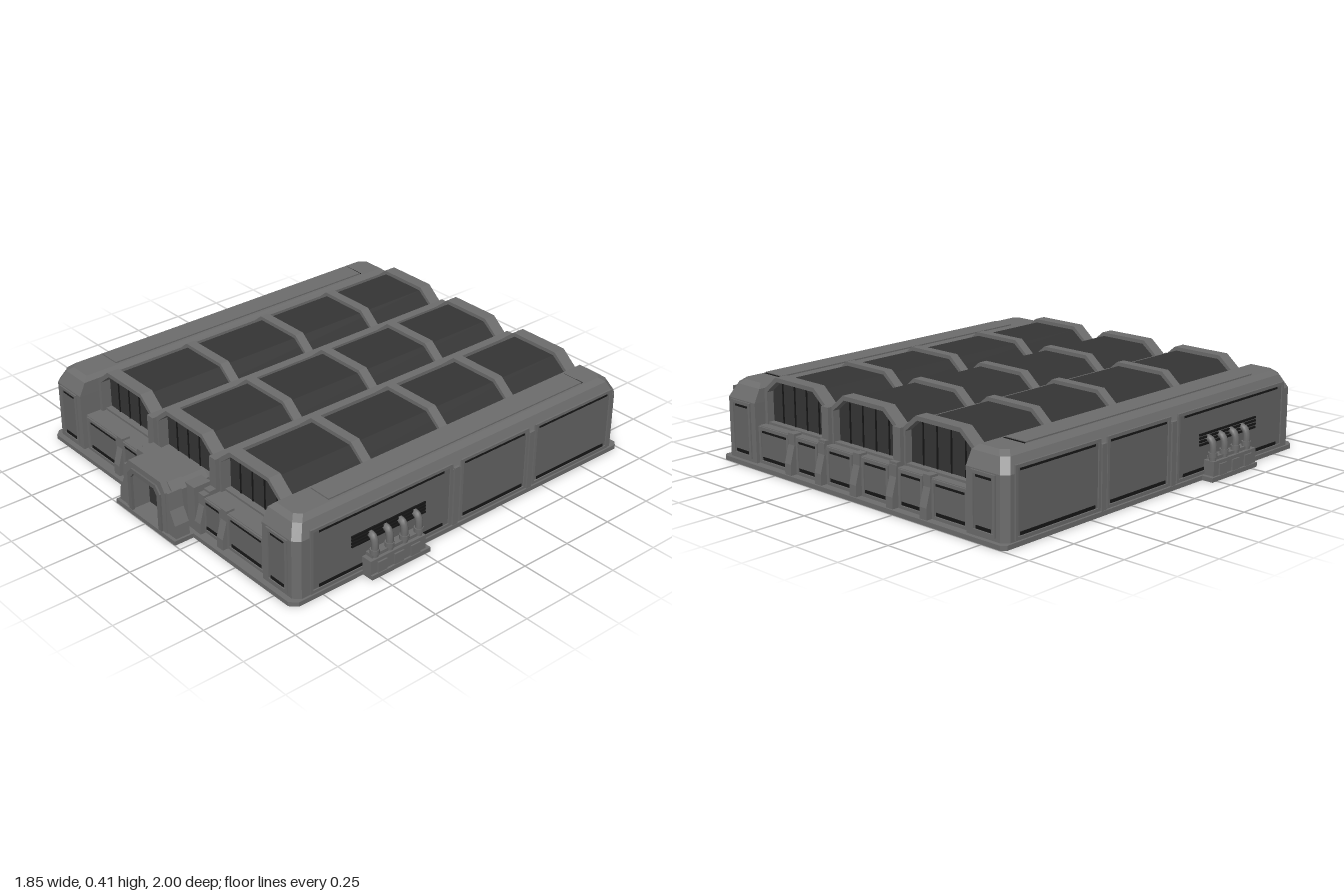
import * as THREE from 'three';
import { ConvexGeometry } from 'three/addons/geometries/ConvexGeometry.js';

export function createModel() {
  const root = new THREE.Group();
  const mat = (name, color) => {
    const m = new THREE.MeshStandardMaterial({ color });
    m.name = name;
    return m;
  };
  const hull = mat('hull grey', 0x6c6c6c);
  const panelGrey = mat('panel grey', 0x646464);
  const glass = mat('dark glass', 0x343434);
  const slot = mat('black slot', 0x161616);

  const add = (name, geo, m, x = 0, y = 0, z = 0) => {
    const mesh = new THREE.Mesh(geo, m);
    mesh.name = name;
    mesh.position.set(x, y, z);
    root.add(mesh);
    return mesh;
  };
  // box given by its limits on each axis
  const box = (name, m, x0, x1, y0, y1, z0, z1) =>
    add(name, new THREE.BoxGeometry(Math.abs(x1 - x0), y1 - y0, z1 - z0), m,
      (x0 + x1) / 2, (y0 + y1) / 2, (z0 + z1) / 2);
  const shape = pts => new THREE.Shape(pts.map(p => new THREE.Vector2(...p)));
  const extrude = (s, depth) => new THREE.ExtrudeGeometry(s, { depth, bevelEnabled: false });
  const rect = (w, h) => [[-w / 2, -h / 2], [w / 2, -h / 2], [w / 2, h / 2], [-w / 2, h / 2]];
  // cut-corner arch outline, starting bottom right
  const arch = (w, eave, tw, top, y0) =>
    [[w, y0], [w, eave], [tw, top], [-tw, top], [-w, eave], [-w, y0]];
  const archBand = (outer, inner) => shape([...outer, ...inner.reverse()]);

  // panel with a raised border and dark slots, facing +z before rotation
  const framedPanel = (name, w, h, x, y, z, turn, slotW = w * 0.8) => {
    const g = new THREE.Group();
    g.name = name;
    const s = shape(rect(w, h));
    s.holes.push(new THREE.Path(rect(w - 0.026, h - 0.026).map(p => new THREE.Vector2(...p))));
    g.add(new THREE.Mesh(extrude(s, 0.008), hull));
    const face = new THREE.Mesh(new THREE.BoxGeometry(w - 0.02, h - 0.02, 0.004), panelGrey);
    g.add(face);
    for (const k of [-1, 1]) {
      const line = new THREE.Mesh(new THREE.BoxGeometry(slotW, k < 0 ? 0.014 : 0.009, 0.006), slot);
      line.position.set(0, k * (h / 2 - 0.022), 0.002);
      g.add(line);
    }
    g.position.set(x, y, z);
    g.rotation.y = turn;
    root.add(g);
  };

  // base plate with bumps for the entrance and the side units
  const half = [[0.215, 1], [0.215, 0.905], [0.84, 0.905], [0.87, 0.875], [0.87, 0.54],
    [0.925, 0.54], [0.925, 0.22], [0.87, 0.22], [0.87, -0.98], [0.85, -1]];
  const plate = extrude(shape([...half, ...half.map(([x, z]) => [-x, z]).reverse()]), 0.02);
  plate.rotateX(Math.PI / 2);
  add('basePlate', plate, hull, 0, 0.02, 0);

  // inner core and low end walls
  box('core', hull, -0.66, 0.66, 0.01, 0.2, -0.92, 0.76);
  box('frontWall', hull, -0.66, 0.66, 0.01, 0.19, 0.75, 0.855);
  box('backWall', hull, -0.66, 0.66, 0.01, 0.19, -0.96, -0.88);

  // side wings: chamfered long blocks
  for (const s of [-1, 1]) {
    const pts = [];
    for (const [y, inset, inner] of [[0.01, 0, 0.65], [0.29, 0, 0.65], [0.35, 0.03, 0.652], [0.37, 0.055, 0.672]]) {
      const xo = 0.86 - inset, zf = 0.88 - inset, zb = -0.98 + inset, c = 0.028;
      for (const [x, z] of [[inner, zf], [xo - c, zf], [xo, zf - c], [xo, zb + c], [xo - c, zb], [inner, zb]])
        pts.push(new THREE.Vector3(s * x, y, z));
    }
    add('sideWing', new ConvexGeometry(pts), hull);
    box('wingRoofPanel', hull, s * 0.685, s * 0.795, 0.365, 0.376, -0.8, 0.66);
    box('wingRoofSeam', slot, s * 0.685, s * 0.795, 0.366, 0.372, -0.808, -0.8);

    // end faces of the wing
    framedPanel('wingFrontPanel', 0.13, 0.25, s * 0.745, 0.16, 0.879, 0, 0.08);
    framedPanel('wingBackPanel', 0.13, 0.25, s * 0.745, 0.16, -0.979, Math.PI, 0.08);

    // long outer face: three panels between posts
    for (const [z0, z1] of [[0.05, 0.81], [-0.4, 0.0], [-0.93, -0.44]])
      framedPanel('wingSidePanel', z1 - z0, 0.3, s * 0.859, 0.175, (z0 + z1) / 2, s * Math.PI / 2,
        (z1 - z0) * 0.88);
    for (const z of [0.025, -0.42])
      box('wingPost', hull, s * 0.85, s * 0.868, 0.015, 0.3, z - 0.014, z + 0.014);

    // pipe unit with vent grille
    box('pipeUnit', hull, s * 0.85, s * 0.915, 0.01, 0.085, 0.24, 0.54);
    box('pipeUnitCap', hull, s * 0.85, s * 0.9, 0.085, 0.1, 0.26, 0.52);
    for (const z of [0.3, 0.39, 0.48])
      box('pipeUnitRib', hull, s * 0.9, s * 0.922, 0.01, 0.07, z - 0.025, z + 0.025);
    for (let i = 0; i < 4; i++)
      box('ventSlat', slot, s * 0.862, s * 0.869, 0.153 + i * 0.015, 0.162 + i * 0.015, 0.2, 0.6);
    for (const z of [0.26, 0.34, 0.42, 0.5]) {
      const path = new THREE.CatmullRomCurve3([[0.892, 0.08], [0.892, 0.15], [0.882, 0.174], [0.85, 0.182]]
        .map(([x, y]) => new THREE.Vector3(s * x, y, z)));
      add('pipe', new THREE.TubeGeometry(path, 12, 0.016, 10), hull);
      const collar = new THREE.CylinderGeometry(0.021, 0.021, 0.02, 10);
      add('pipeCollar', collar, hull, s * 0.892, 0.11, z);
    }

    // gutter beam between vaults
    box('gutterBeam', hull, s * 0.2, s * 0.243, 0.15, 0.35, -0.945, 0.8);
    box('gutterFoot', hull, s * 0.2, s * 0.243, 0.15, 0.21, -0.965, 0.835);
  }

  // three glazed vaults with arch ribs
  for (const cx of [-0.442, 0, 0.442]) {
    add('vaultGlass', extrude(shape(arch(0.196, 0.335, 0.12, 0.394, 0.18)), 1.62), glass, cx, 0, -0.89);
    for (const [z, d] of [[-0.925, 0.06], [-0.525, 0.045], [-0.125, 0.045], [0.305, 0.045], [0.72, 0.06]]) {
      const band = archBand(arch(0.207, 0.345, 0.128, 0.411, 0.18), arch(0.19, 0.335, 0.12, 0.392, 0.18));
      add('vaultRib', extrude(band, d), hull, cx, 0, z);
    }
    // fine mullions on both glazed ends
    for (const x of [-0.12, -0.04, 0.04, 0.12])
      for (const z of [0.731, -0.891])
        box('mullion', slot, cx + x - 0.003, cx + x + 0.003, 0.19, 0.385, z - 0.003, z + 0.003);
  }

  // end wall panels and sloping pilasters
  const pilaster = (x, z, dir) => {
    const g = extrude(shape([[0, 0.015], [0.035, 0.015], [0.035, 0.07], [0.012, 0.15], [0.012, 0.2], [-0.03, 0.2], [-0.03, 0.015]]), 0.04);
    g.translate(0, 0, -0.02);
    add('pilaster', g, hull, x, 0, z).rotation.y = -dir * Math.PI / 2;
  };
  for (const s of [-1, 1]) {
    framedPanel('frontPanel', 0.245, 0.165, s * 0.515, 0.105, 0.855, 0);
    framedPanel('frontPanel', 0.12, 0.165, s * 0.295, 0.105, 0.855, 0);
    pilaster(s * 0.375, 0.852, 1);
    pilaster(s * 0.222, 0.852, 1);
    framedPanel('backPanel', 0.2, 0.165, s * 0.545, 0.105, -0.96, Math.PI);
    framedPanel('backPanel', 0.14, 0.165, s * 0.322, 0.105, -0.96, Math.PI);
    framedPanel('backPanel', 0.16, 0.165, s * 0.11, 0.105, -0.96, Math.PI);
    pilaster(s * 0.42, -0.957, -1);
    pilaster(s * 0.222, -0.957, -1);
  }
  pilaster(0, -0.957, -1);

  // entrance porch: body, arched portal, flared feet and recessed door
  const opening = () => arch(0.102, 0.19, 0.078, 0.218, 0.015);
  add('porchBody', extrude(shape(arch(0.155, 0.215, 0.125, 0.245, 0.015)), 0.12), hull, 0, 0, 0.775);
  add('porchArch', extrude(archBand(arch(0.16, 0.215, 0.125, 0.252, 0.015), opening()), 0.07), hull, 0, 0, 0.89);
  add('portalFrame', extrude(archBand(arch(0.145, 0.215, 0.115, 0.258, 0.015), opening()), 0.035), hull, 0, 0, 0.955);
  add('portalTrim', extrude(archBand(arch(0.118, 0.2, 0.088, 0.232, 0.015),
    arch(0.095, 0.185, 0.074, 0.211, 0.015)), 0.012), panelGrey, 0, 0, 0.986);
  add('door', extrude(shape(opening()), 0.006), glass, 0, 0, 0.897);
  for (const s of [-1, 1]) {
    const foot = [[0.13, 0.015], [0.205, 0.015], [0.2, 0.08], [0.168, 0.14], [0.16, 0.22], [0.13, 0.22]].map(([x, y]) => [s * x, y]);
    add('porchButtress', extrude(shape(foot), 0.07), hull, 0, 0, 0.915);
    box('porchShoulder', hull, s * 0.14, s * 0.205, 0.015, 0.23, 0.8, 0.885);
  }

  return root;
}
